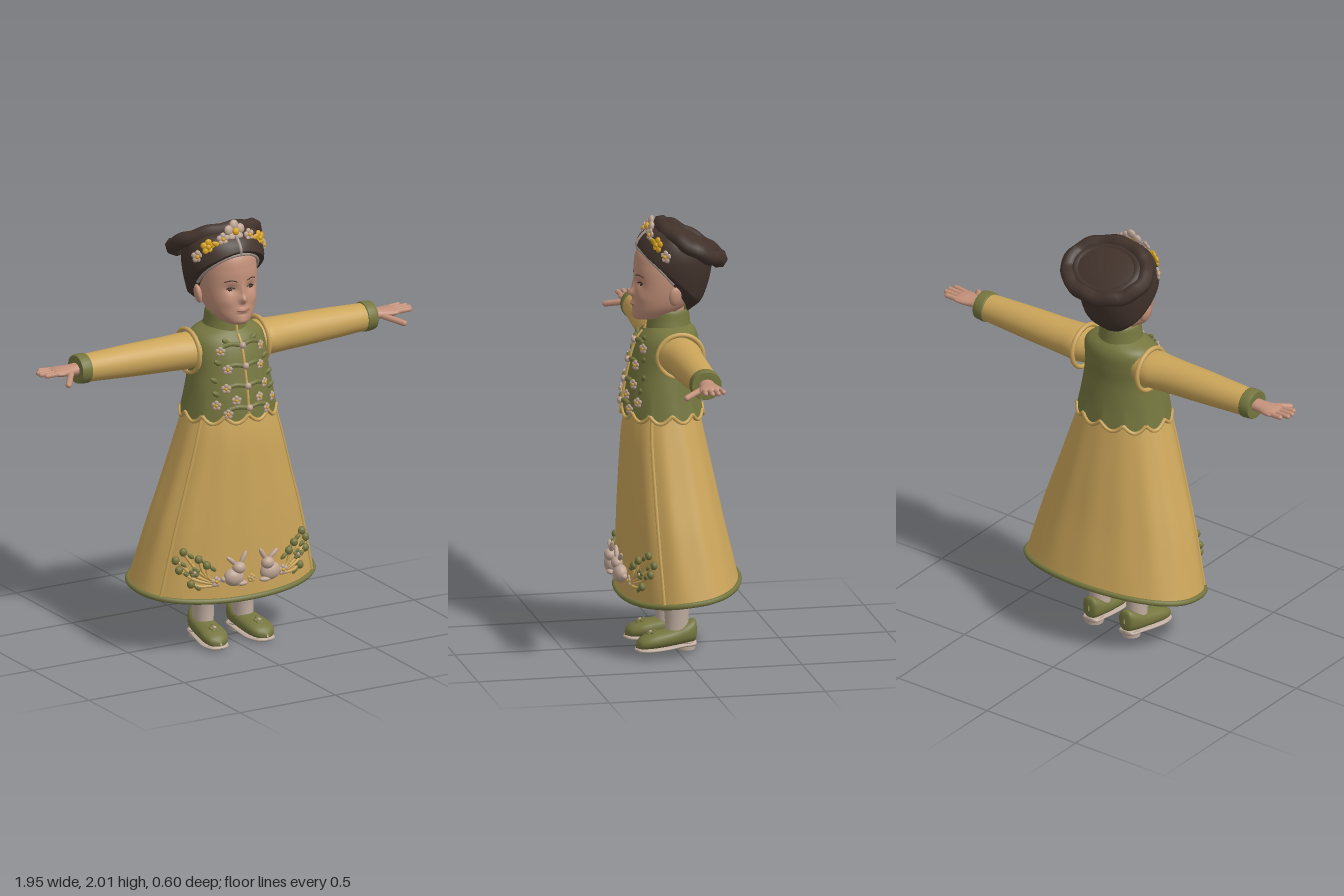
import * as THREE from 'three';
import { ParametricGeometry } from 'three/addons/geometries/ParametricGeometry.js';

const mat = (name, color, side = THREE.FrontSide) => {
  const m = new THREE.MeshStandardMaterial({ color, side });
  m.name = name;
  return m;
};
const V = (x, y, z) => new THREE.Vector3(x, y, z);

// Smooth sample of rows [position, halfWidth, high, low]
function sample(rows, v) {
  const n = rows.length, f = v * (n - 1), i = Math.min(Math.floor(f), n - 2), t = f - i;
  const [a, b, c, d] = [i - 1, i, i + 1, i + 2].map(k => rows[Math.min(Math.max(k, 0), n - 1)]);
  return b.map((q, k) => q + 0.5 * t * (c[k] - a[k] + t * (2 * a[k] - 5 * q + 4 * c[k] - d[k] + t * (3 * (q - c[k]) + d[k] - a[k]))));
}
// Oval cross-section point on an upright body; p below 1 squares the oval off
function pt(rows, th, v, p = 1) {
  const [y, r, hi, lo] = sample(rows, v), c = Math.cos(th);
  return V(r * Math.sin(th), y, (hi + lo) / 2 + (hi - lo) / 2 * Math.sign(c) * Math.abs(c) ** p);
}
// Point on the front of a body at a given x and y
function onFront(rows, x, y, lift = 0, p = 1) {
  let a = 0, b = 1;
  for (let i = 0; i < 30; i++) { const m = (a + b) / 2; if (sample(rows, m)[0] < y) a = m; else b = m; }
  const r = sample(rows, a)[1], q = pt(rows, Math.asin(THREE.MathUtils.clamp(x / r, -1, 1)), a, p);
  return V(x, y, q.z + lift);
}
const surface = (fn, nu = 48, nv = 24) =>
  new ParametricGeometry((u, v, out) => out.copy(fn(u * Math.PI * 2, v)), nu, nv);

const SKIRT = [[.292, .45, .24, -.295], [.42, .418, .24, -.268], [.6, .37, .238, -.228], [.8, .308, .232, -.188], [1, .248, .222, -.146], [1.14, .205, .2, -.115]];
const VEST = [[1.115, .224, .225, -.142], [1.2, .207, .215, -.127], [1.3, .189, .195, -.116], [1.38, .186, .176, -.12], [1.44, .18, .152, -.12], [1.475, .155, .125, -.108], [1.5, .1, .1, -.085]];
const COLLAR = [[1.47, .108, .118, -.092], [1.52, .097, .112, -.085], [1.565, .09, .108, -.08], [1.568, .08, .096, -.07], [1.53, .07, .085, -.06]];
const HEAD = [[1.522, .012, .15, .11], [1.535, .058, .17, .04], [1.57, .094, .178, -.04], [1.62, .118, .174, -.09], [1.7, .131, .17, -.12], [1.78, .13, .17, -.13], [1.85, .118, .152, -.13], [1.91, .07, .08, -.08]];
const HAIR = [[1.56, .1, .05, -.09], [1.62, .15, .1, -.14], [1.7, .175, .14, -.17], [1.78, .19, .168, -.185], [1.84, .19, .168, -.185], [1.9, .172, .145, -.165], [1.94, .13, .1, -.1], [1.96, .01, .045, .02]];

export function createModel() {
  const root = new THREE.Group();
  root.name = 'girlInLongDress';
  const yellow = mat('yellowCloth', 0xcba55a), green = mat('greenCloth', 0x75763f, THREE.DoubleSide);
  const hair = mat('darkHair', 0x42332c), skin = mat('skin', 0xc3917a), cream = mat('creamStocking', 0xc0ada0);
  const blossom = mat('palePink', 0xbfa594), gold = mat('gold', 0xd9a31f), grey = mat('hairlineGrey', 0xa3968c);
  const dark = mat('eyeBrown', 0x3a2a24), lip = mat('lips', 0xae7566);

  const add = (name, geo, m, parent = root) => {
    const o = new THREE.Mesh(geo, m);
    o.name = name;
    parent.add(o);
    return o;
  };
  const tube = (name, pts, r, m, closed = false) =>
    add(name, new THREE.TubeGeometry(new THREE.CatmullRomCurve3(pts, closed), closed ? pts.length * 2 : 16, r, 7, closed), m);
  const ball = (name, pos, scale, m, rz = 0, parent = root) => {
    const n = Math.max(...scale) > .027 ? 20 : 10;
    const o = add(name, new THREE.SphereGeometry(1, n, n * .7), m, parent);
    o.position.copy(pos); o.scale.set(...scale); o.rotation.z = rz;
    return o;
  };
  const loop = (n, fn) => Array.from({ length: n }, (_, i) => fn(i / n * Math.PI * 2));
  const flower = (name, pos, dir, r, petals, heart) => {
    const g = new THREE.Group();
    g.name = name;
    for (let i = 0; i < 5; i++) {
      const a = i * Math.PI * .4 + Math.PI / 2;
      ball('petal', V(Math.cos(a) * r * .58, Math.sin(a) * r * .58, 0), [r * .44, r * .44, r * .25], petals, 0, g);
    }
    ball('flowerHeart', V(0, 0, r * .2), [r * .33, r * .33, r * .25], heart, 0, g);
    g.position.copy(pos);
    g.lookAt(pos.clone().add(dir));
    root.add(g);
  };

  // Skirt, hem binding and lining
  const skirtPt = (th, v) => {
    const q = pt(SKIRT, th, v, .85), k = 1 + .007 * Math.cos(14 * th) * (1 - v) * v * 4;
    q.x *= k; q.z *= k;
    q.y -= .042 * Math.cos(th) * (1 - v) ** 2;
    return q;
  };
  add('skirt', surface(skirtPt, 112, 24), yellow);
  tube('skirtHem', loop(64, th => skirtPt(th, 0)), .013, green, true);
  add('skirtLining', surface((th, v) => V(0, .292, -.027).lerp(skirtPt(th, 0), .01 + v * .99), 64, 4), green);
  for (const s of [-1, 1])
    tube('skirtSeam', Array.from({ length: 12 }, (_, i) => skirtPt(s * 1.08, i / 11)), .008, yellow);

  // Vest with scalloped edge, collar and trims
  const vestPt = (th, v) => {
    const q = pt(VEST, th, v, .9);
    q.y -= .034 * Math.abs(Math.sin(th * 6)) * Math.max(0, 1 - v * 4);
    return q;
  };
  add('vest', surface(vestPt, 96, 24), green);
  tube('vestScallopTrim', loop(96, th => vestPt(th, 0)), .009, yellow, true);
  add('collar', surface((th, v) => pt(COLLAR, th, v), 40, 16), green);
  tube('collarTrim', loop(32, th => pt(COLLAR, th, 0)), .006, yellow, true);
  const vf = (x, y, lift = .004) => onFront(VEST, x, y, lift, .9);
  tube('vestOpening', Array.from({ length: 12 }, (_, i) => vf(0, 1.12 + i * .032)), .007, yellow);
  tube('collarOpening', [V(0, 1.48, .122), V(0, 1.525, .114), V(0, 1.563, .11)], .007, yellow);
  for (const y of [1.15, 1.25, 1.34, 1.43]) {
    tube('frogFastening', [-.09, -.05, 0, .05, .09].map((x, i) => vf(x, y + (i % 2) * .008)), .011, green);
    ball('knotButton', vf(0, y, .014), [.016, .016, .014], blossom);
  }
  for (const s of [-1, 1]) {
    for (const [x, y] of [[.105, 1.41], [.085, 1.33], [.1, 1.245], [.06, 1.19], [.145, 1.17], [.1, 1.13]])
      flower('vestFlower', vf(s * x, y, .009), V(s * x, 0, .17), .024, blossom, gold);
    for (const [x, y] of [[.14, 1.28], [.14, 1.22], [.07, 1.45], [.12, 1.36]])
      ball('vestLeaf', vf(s * x, y, .004), [.024, .012, .01], green, s * .6);
  }

  // Neck, head and face
  const neck = add('neck', new THREE.CylinderGeometry(.07, .075, .16, 24), skin);
  neck.position.set(0, 1.54, .012);
  const bumps = [[0, 1.65, .024, .016, .018], [0, 1.685, .011, .012, .035], [.05, 1.7, -.012, .028, .02], [0, 1.602, .008, .028, .014], [0, 1.545, .006, .03, .015], [.07, 1.64, .007, .03, .03], [0, 1.58, -.004, .025, .008]];
  const relief = q => {
    if (q.z > .04) for (const [x, y, h, sx, sy] of bumps)
      q.z += h * Math.exp(-(((Math.abs(q.x) - x) / sx) ** 2) - ((q.y - y) / sy) ** 2);
    return q;
  };
  add('head', surface((th, v) => relief(pt(HEAD, th, v, .85)), 80, 60), skin);
  const face = (x, y, lift) => { const q = relief(onFront(HEAD, x, y, 0, .85)); q.z += lift; return q; };
  tube('mouth', [-.03, -.012, 0, .012, .03].map(x => face(x, 1.598 + Math.abs(x) * .1, 0)), .005, lip);
  for (const s of [-1, 1]) {
    tube('eyelid', [.03, .042, .056, .07].map((x, i) => face(s * x, 1.7 + [0, .006, .006, -.001][i], 0)), .0035, dark);
    ball('eye', face(s * .05, 1.696, 0), [.015, .006, .004], dark);
    tube('eyebrow', [.025, .05, .08].map((x, i) => face(s * x, 1.735 + [0, .007, 0][i], -.001)), .003, hair);
    const ear = ball('ear', V(s * .14, 1.655, .01), [.017, .045, .03], skin, -s * .15);
    ear.rotation.y = s * .25;
  }

  // Hair swept back from the hairline, flattened under the tilted roll
  const hairPt = (th, v) => {
    const v0 = .6 * Math.abs(Math.cos(th / 2)) ** 3, q = pt(HAIR, th, v0 + (1 - v0) * v);
    const k = 1 - .24 * Math.max(0, 1 - v * 10) * (.35 + .65 * Math.abs(Math.sin(th)));
    q.x *= k; q.z *= k;
    q.y = Math.min(q.y, 1.95 + .58 * (q.z - .04));
    return q;
  };
  add('hair', surface(hairPt, 64, 40), hair);
  const line = Array.from({ length: 21 }, (_, i) => hairPt((i / 10 - 1) * 1.35, .03));
  tube('hairline', line, .008, grey);
  tube('hairParting', [0, .15, .3, .45, .6].map(v => { const q = hairPt(0, v); q.z += .001; return q; }), .008, grey);
  const rollPt = (th, k = 1) => V(.2 * k * Math.sin(th), 1.873 + .075 * k * Math.cos(th), -.088 + .13 * k * Math.cos(th));
  tube('hairRoll', loop(40, th => { const q = rollPt(th); q.y += .004 * Math.sin(th * 9); return q; }), .036, hair, true);
  tube('hairInnerCoil', loop(32, th => rollPt(th, .78)), .026, hair, true);
  const crown = ball('hairCrown', V(0, 1.873, -.088), [.18, .035, .14], hair);
  crown.rotation.x = -.52;

  // Flowers in the hair
  flower('hairFlower', V(0, 1.953, .1), V(0, .25, 1), .053, blossom, gold);
  for (const s of [-1, 1]) {
    flower('hairRose', V(s * .133, 1.898, .092), V(s * .5, .2, 1), .036, gold, gold);
    flower('hairBlossom', V(s * .068, 1.93, .112), V(s * .25, .2, 1), .03, blossom, gold);
    flower('hairBlossom', V(s * .172, 1.85, .062), V(s * .9, .1, 1), .03, blossom, gold);
    ball('hairLeaf', V(s * .1, 1.91, .108), [.026, .012, .008], gold, s * .5);
  }

  for (const s of [-1, 1]) {
    // Sleeve, cuff and hand, lofted along x
    const limb = (name, rows, m) => add(name, surface((th, v) => {
      const q = pt(rows, th, v);
      return V(s * q.y, q.z, s * q.x);
    }, 28, 20), m);
    limb('sleeve', [[.13, .085, 1.465, 1.32], [.2, .1, 1.472, 1.308], [.3, .088, 1.47, 1.31], [.5, .078, 1.467, 1.318], [.74, .066, 1.458, 1.332]], yellow);
    limb('cuff', [[.725, .062, 1.455, 1.335], [.728, .072, 1.465, 1.327], [.77, .07, 1.463, 1.33], [.776, .06, 1.452, 1.34], [.774, .002, 1.398, 1.394]], green);
    limb('palm', [[.76, .036, 1.428, 1.368], [.81, .04, 1.423, 1.375], [.86, .053, 1.421, 1.38], [.895, .05, 1.416, 1.388], [.905, .003, 1.404, 1.4]], skin);
    const digit = (name, a, b, r) => {
      const o = add(name, new THREE.CapsuleGeometry(r, a.distanceTo(b), 5, 10), skin);
      o.position.copy(a).lerp(b, .5);
      o.quaternion.setFromUnitVectors(V(0, 1, 0), b.clone().sub(a).normalize());
    };
    [[-.038, -.042, .94], [-.013, -.014, .963], [.012, .014, .965], [.036, .043, .952]].forEach(([z0, z1, x]) =>
      digit('finger', V(s * .88, 1.403, z0), V(s * x, 1.406, z1), .0115));
    digit('thumb', V(s * .82, 1.392, .035), V(s * .88, 1.372, .115), .014);
    const hole = add('armholeTrim', new THREE.TorusGeometry(.1, .011, 8, 36), yellow);
    hole.position.set(s * .183, 1.385, -.005); hole.rotation.y = Math.PI / 2; hole.scale.set(1.05, 1, 1);

    // Leg and shoe, the shoe lofted along z
    add('leg', surface((th, v) => {
      const q = pt([[.06, .045, .05, -.055], [.14, .047, .05, -.058], [.24, .053, .06, -.065], [.4, .06, .068, -.07]], th, v);
      q.x += s * .104;
      return q;
    }, 24, 10), cream);
    const shoeLoft = (name, rows, m) => add(name, surface((th, v) => {
      const q = pt(rows, th, v, .8);
      return V(s * (.108 + q.y * .08) - q.x, q.z, q.y);
    }, 28, 24), m);
    shoeLoft('shoe', [[-.096, .004, .1, .07], [-.088, .035, .138, .035], [-.05, .052, .128, .028], [0, .056, .108, .022], [.06, .061, .096, .016], [.12, .063, .085, .012], [.168, .046, .062, .012], [.188, .004, .035, .02]], green);
    shoeLoft('sole', [[-.095, .004, .035, .025], [-.085, .04, .04, .012], [-.03, .05, .034, .012], [.04, .056, .025, .004], [.12, .063, .022, 0], [.175, .046, .022, 0], [.194, .004, .014, .008]], cream);
    const heel = add('heel', new THREE.CylinderGeometry(.045, .042, .035, 20), cream);
    heel.position.set(s * .104, .0175, -.047);
    flower('shoeFlower', V(s * .117, .086, .118), V(0, 1, .5), .026, green, blossom);

    // Rabbit and sprays of leaves on the skirt front
    const sf = (x, y, lift = .006) => onFront(SKIRT, s * x, y, lift, .85);
    ball('rabbitBody', sf(.095, .365, .02), [.05, .042, .034], blossom, s * .2);
    ball('rabbitHead', sf(.075, .41, .03), [.032, .028, .027], blossom);
    ball('rabbitEar', sf(.052, .452, .025), [.011, .036, .011], blossom, s * .5);
    ball('rabbitEar', sf(.108, .444, .025), [.011, .034, .011], blossom, -s * .85);
    ball('rabbitFoot', sf(.06, .335, .03), [.028, .012, .017], blossom);
    ball('rabbitTail', sf(.145, .36, .02), [.014, .014, .014], blossom);
    for (const [x, y] of [[.31, .495], [.25, .46], [.33, .41], [.285, .345], [.215, .43], [.34, .455]]) {
      tube('vineStem', [sf(.16, .332), sf((x + .2) / 2, (y + .34) / 2 - .012), sf(x, y)], .007, yellow);
      ball('vineBud', sf(x, y, .01), [.02, .02, .016], green);
      ball('vineLeaf', sf(x - .03, y - .02, .006), [.02, .01, .009], green, s * .7);
    }
    flower('vineFlower', sf(.175, .35, .012), V(0, 0, 1), .026, blossom, gold);
    flower('vineFlower', sf(.27, .4, .012), V(s * .3, 0, 1), .026, green, blossom);
  }
  flower('skirtFlower', onFront(SKIRT, 0, .345, .01, .85), V(0, 0, 1), .022, yellow, blossom);
  return root;
}
